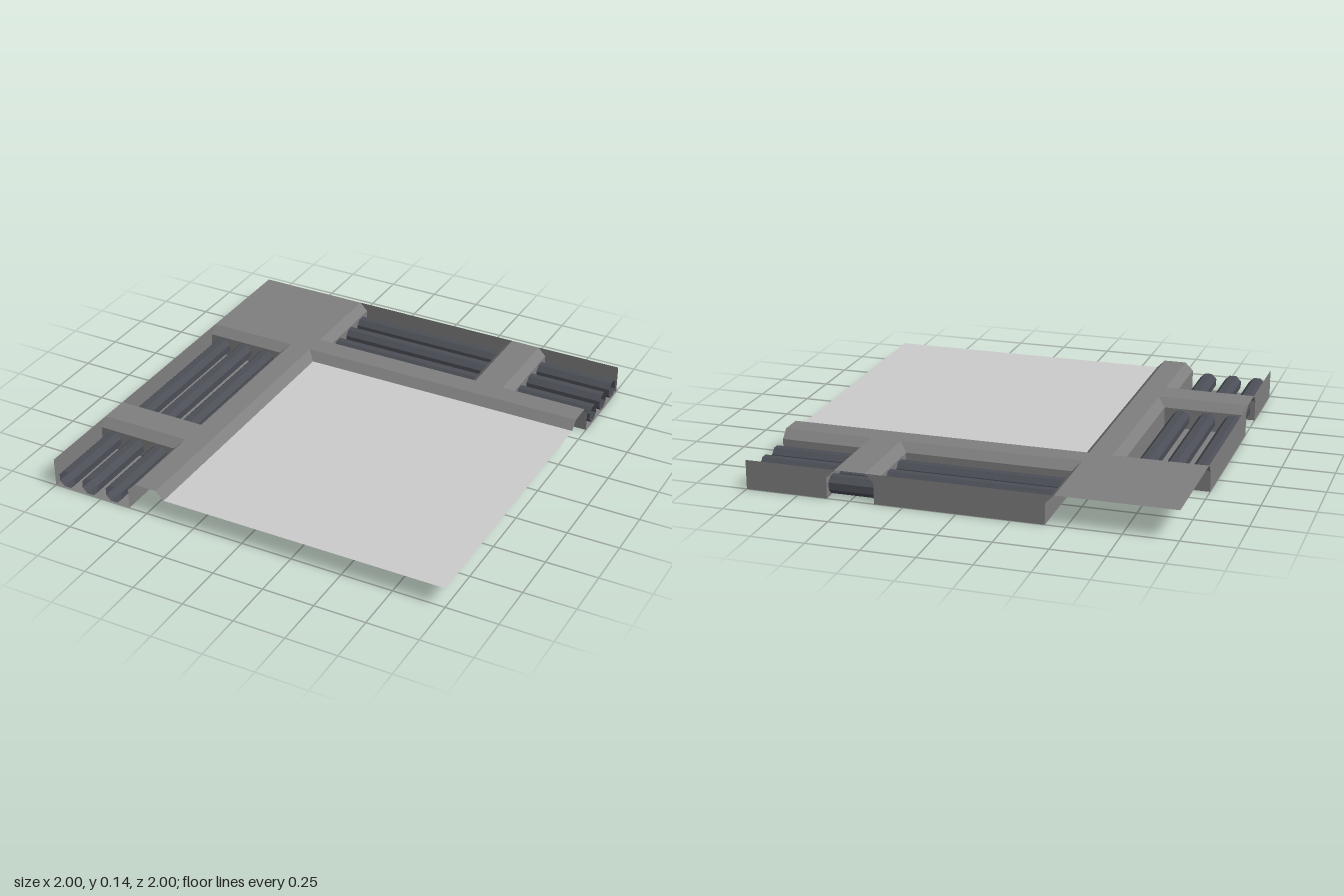
import * as THREE from 'three';

const TOP = 0.14, LEDGE = 0.1, BEVEL = 0.04, EDGE = -0.405;

const paint = (color) => new THREE.MeshStandardMaterial({ color, side: THREE.DoubleSide, flatShading: true });
const plateMat = paint(0x7f7f7f);
const pipeMat = paint(0x4c4e57);
const panelMat = paint(0xcccccc);

function add(parent, name, geometry, material) {
  const mesh = new THREE.Mesh(geometry, material);
  mesh.name = name;
  parent.add(mesh);
  return mesh;
}

// Flat-shaded geometry from four-cornered faces
function quads(faces) {
  const points = [];
  for (const [a, b, c, d] of faces) points.push(...a, ...b, ...c, ...a, ...c, ...d);
  const g = new THREE.BufferGeometry();
  g.setAttribute('position', new THREE.Float32BufferAttribute(points, 3));
  g.computeVertexNormals();
  return g;
}

// Sunken tray along the back edge: floor, upright walls and a flared rim
function trayGeometry(x0, x1, openEnd) {
  const ring = (y, b) => {
    const left = x0 - b, right = openEnd ? x1 : x1 + b, inner = -0.595 + b;
    return [[left, y, inner], [left, y, -1], [right, y, -1], [right, y, inner]];
  };
  const rings = [ring(0, 0), ring(LEDGE, 0), ring(TOP, BEVEL)];
  const [f0, f1, f2, f3] = rings[0];
  const faces = [[f0, f3, f2, f1]];
  for (let level = 0; level < 2; level++) {
    for (let i = 0; i < 4; i++) {
      if (openEnd && i === 2) continue;
      const j = (i + 1) % 4, low = rings[level], high = rings[level + 1];
      faces.push([low[i], low[j], high[j], high[i]]);
    }
  }
  return quads(faces);
}

// One run of two trays, three pipes and the bevel beside the centre panel
function buildRun(name) {
  const run = new THREE.Group();
  run.name = name;
  add(run, 'longTray', trayGeometry(EDGE, 0.385, false), plateMat);
  add(run, 'shortTray', trayGeometry(0.61, 1, true), plateMat);

  const length = 1 - EDGE;
  for (const z of [-0.933, -0.807, -0.678]) {
    const g = new THREE.CylinderGeometry(0.045, 0.045, length, 8, 1, true);
    g.rotateY(Math.PI / 8).rotateZ(Math.PI / 2);
    add(run, 'pipe', g, pipeMat).position.set((1 + EDGE) / 2, 0.05, z);
  }

  const outer = EDGE - BEVEL;
  add(run, 'panelBevel', quads([
    [[EDGE, LEDGE, EDGE], [1, LEDGE, EDGE], [1, TOP, outer], [outer, TOP, outer]],
  ]), plateMat);
  return run;
}

export function createModel() {
  const model = new THREE.Group();
  model.name = 'floorTile';

  // Raised walkway; the outline is symmetric about the tile's diagonal
  const half = [
    [-1, -1], [-0.445, -1], [-0.445, -0.555], [0.425, -0.555], [0.425, -1],
    [0.57, -1], [0.57, -0.555], [1, -0.555], [1, -0.445],
  ];
  const mirrored = half.slice(1).reverse().map(([x, z]) => [z, x]);
  const outline = [...half, [-0.445, -0.445], ...mirrored];
  const shape = new THREE.Shape(outline.map(([x, z]) => new THREE.Vector2(x, -z)));
  const walkway = new THREE.ShapeGeometry(shape).rotateX(-Math.PI / 2);
  add(model, 'walkway', walkway, plateMat).position.y = TOP;

  // Centre panel
  const size = 1 - EDGE, middle = (1 + EDGE) / 2;
  const panel = new THREE.PlaneGeometry(size, size).rotateX(-Math.PI / 2);
  add(model, 'centrePanel', panel, panelMat).position.set(middle, LEDGE, middle);

  // The side run is the back run with x and z swapped
  model.add(buildRun('backRun'));
  const side = buildRun('sideRun');
  side.scale.x = -1;
  side.rotation.y = Math.PI / 2;
  model.add(side);

  return model;
}
